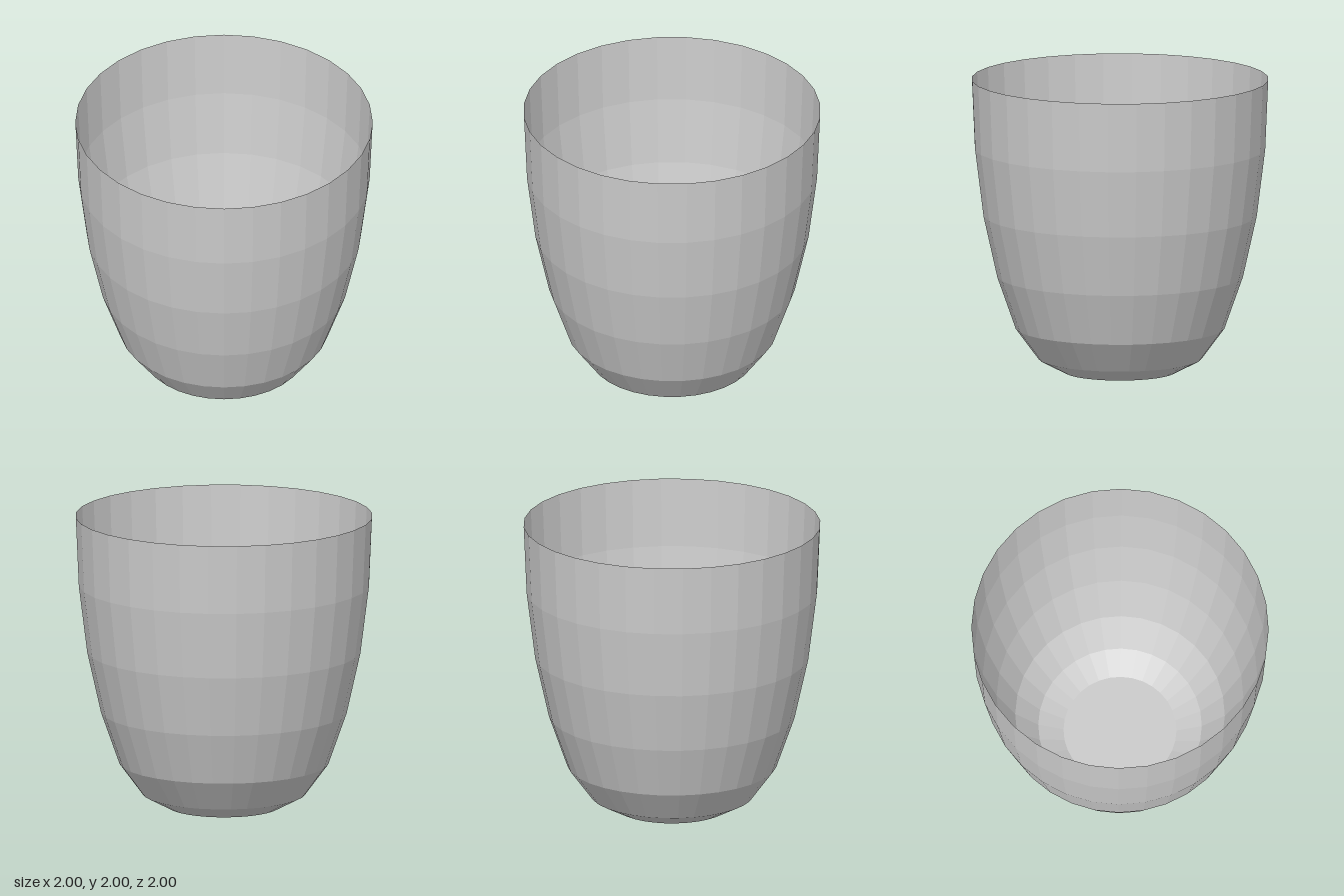
import * as THREE from 'three';

export function createModel() {
  const group = new THREE.Group();
  group.name = 'cup';

  // Thin open shell, seen from inside and outside
  const material = new THREE.MeshStandardMaterial({
    color: 0xcccccc,
    flatShading: true,
    side: THREE.DoubleSide,
  });
  const sides = 32;

  // Wall profile from the foot up to the rim: radius, height
  const profile = [
    [0.38, 0], [0.55, 0.09], [0.705, 0.3], [0.83, 0.655],
    [0.923, 1.07], [0.98, 1.525], [1, 1.995],
  ].map(([r, y]) => new THREE.Vector2(r, y));

  const wall = new THREE.Mesh(new THREE.LatheGeometry(profile, sides), material);
  wall.name = 'wall';
  group.add(wall);

  // Flat disc closing the foot, facing down
  const base = new THREE.Mesh(new THREE.CircleGeometry(profile[0].x, sides), material);
  base.name = 'base';
  base.rotation.x = Math.PI / 2;
  group.add(base);

  return group;
}
